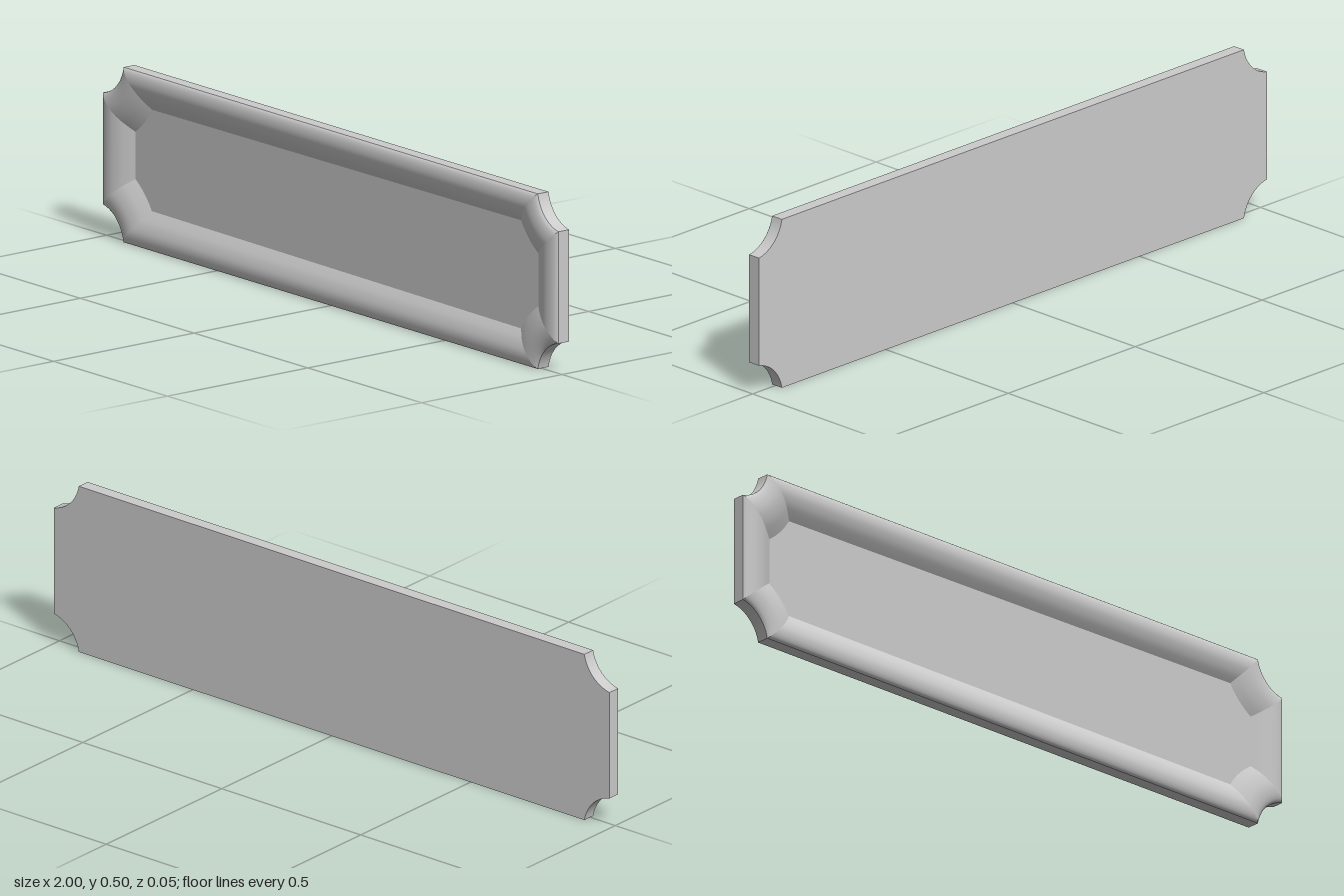
import * as THREE from 'three';

const HALF_H = 0.25, BACK = -0.025, SHOULDER = 0.013;

// Plaque outline inset by d: four scooped corner arcs, counter-clockwise
function cornerArcs(d) {
  const cx = 1.02, cy = HALF_H + 0.02, r = 0.112 + 1.25 * d;
  const a0 = Math.asin((0.02 + d) / r);
  const a1 = Math.acos((0.02 + 1.1 * d) / r);
  const n = 14;
  return [[1, 1], [-1, 1], [-1, -1], [1, -1]].map(([sx, sy]) => {
    const arc = [];
    for (let i = 0; i <= n; i++) {
      const a = a0 + (a1 - a0) * i / n; // from horizontal edge to vertical edge
      arc.push(new THREE.Vector2(sx * (cx - r * Math.cos(a)), sy * (cy - r * Math.sin(a))));
    }
    return sx * sy > 0 ? arc.reverse() : arc;
  });
}

// Eight runs of the outline: each corner followed by the straight side after it
function outlineRuns(d) {
  const arcs = cornerArcs(d);
  return arcs.flatMap((arc, k) => [arc, [arc[arc.length - 1], arcs[(k + 1) % 4][0]]]);
}

// Sweeps a profile of (inset, z) points along one run of the outline
function sweepRun(rings, run, profile) {
  const pos = [], idx = [];
  const n = rings[0][run].length;
  profile.forEach((p, j) => {
    rings[j][run].forEach((v, i) => {
      pos.push(v.x, v.y + HALF_H, p.y);
      if (j < profile.length - 1 && i < n - 1) {
        const a = j * n + i;
        idx.push(a, a + 1, a + n, a + 1, a + n + 1, a + n);
      }
    });
  });
  const g = new THREE.BufferGeometry();
  g.setAttribute('position', new THREE.Float32BufferAttribute(pos, 3));
  g.setIndex(idx);
  g.computeVertexNormals();
  return g;
}

function sweep(name, profile, material) {
  const group = new THREE.Group();
  group.name = name;
  const rings = profile.map(p => outlineRuns(p.x));
  for (let run = 0; run < 8; run++) {
    const mesh = new THREE.Mesh(sweepRun(rings, run, profile), material);
    mesh.name = name + (run % 2 ? 'Side' : 'Corner');
    group.add(mesh);
  }
  return group;
}

export function createModel() {
  const model = new THREE.Group();
  model.name = 'plaque';
  const material = new THREE.MeshStandardMaterial({ color: 0xcccccc, side: THREE.DoubleSide });

  // Flat outer wall
  const wall = [new THREE.Vector2(0, BACK), new THREE.Vector2(0, SHOULDER)];
  model.add(sweep('outerWall', wall, material));

  // Rounded raised moulding, falling inward to the panel
  const profile = new THREE.SplineCurve([
    [0, SHOULDER], [0.006, 0.019], [0.018, 0.0235], [0.034, 0.025], [0.05, 0.0225],
    [0.07, 0.015], [0.09, 0.003], [0.115, -0.014],
  ].map(p => new THREE.Vector2(...p))).getPoints(24);
  model.add(sweep('moulding', profile, material));

  // Sunken panel, very slightly deeper at one end
  const panelShape = new THREE.Shape(cornerArcs(0.078).flat());
  const panel = new THREE.Mesh(new THREE.ShapeGeometry(panelShape), material);
  panel.name = 'panel';
  panel.position.set(0, HALF_H, -0.004);
  panel.rotation.y = -0.004;
  model.add(panel);

  // Flat back
  const back = new THREE.Mesh(new THREE.ShapeGeometry(new THREE.Shape(cornerArcs(0).flat())), material);
  back.name = 'back';
  back.rotation.y = Math.PI;
  back.position.set(0, HALF_H, BACK);
  model.add(back);

  return model;
}
